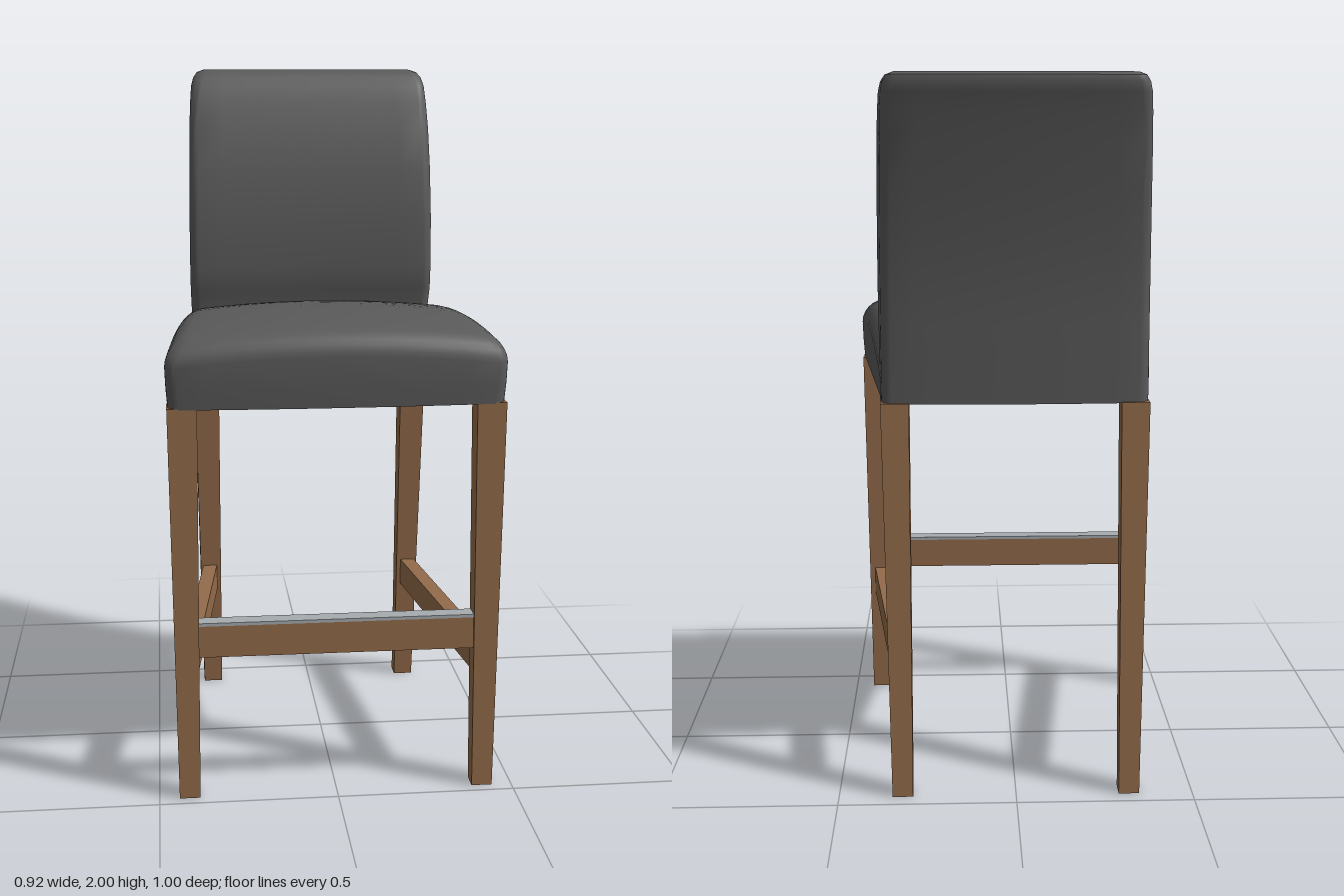
import * as THREE from 'three';
import { toCreasedNormals } from 'three/addons/utils/BufferGeometryUtils.js';

const { lerp } = THREE.MathUtils;

// Half width of the tapered plan, wide at the front and narrow at the back
const halfWidth = (z) => 0.41 + 0.115 * z;

// Rounded, tapered outline [x, z], counterclockwise from above; ends bow outwards
function outline(zF, zB, inset, r, bowF, bowB) {
  const corners = [[1, zF - r], [1, zB + r], [-1, zB + r], [-1, zF - r]];
  const arcs = corners.map(([sx, cz], k) => {
    const pts = [];
    for (let i = 0; i <= 6; i++) {
      const a = (k + i / 6) * Math.PI / 2;
      pts.push([sx * (halfWidth(cz) - inset - r) + r * Math.sin(a), cz + r * Math.cos(a)]);
    }
    return pts;
  });
  const ring = [];
  arcs.forEach((arc, k) => {
    ring.push(...arc);
    const a = arc[6], b = arcs[(k + 1) % 4][0];
    for (let i = 1; i < 10; i++) ring.push([lerp(a[0], b[0], i / 10), lerp(a[1], b[1], i / 10)]);
  });
  const mid = (zF + zB) / 2, half = (zF - zB) / 2;
  return ring.map(([x, z]) => {
    const t = (z - mid) / half;
    const curve = Math.max(0, 1 - (x / halfWidth(z)) ** 2);
    return [x, z + (t > 0 ? bowF : bowB) * t * curve];
  });
}

// Closed skin over rings of [x, y, z], listed from bottom to top
function loft(rings, crease) {
  const n = rings[0].length, pos = rings.flat(2), index = [];
  for (let i = 0; i < rings.length - 1; i++) {
    for (let j = 0; j < n; j++) {
      const a = i * n + j, b = i * n + (j + 1) % n;
      index.push(a, b, b + n, a, b + n, a + n);
    }
  }
  [0, rings.length - 1].forEach((i) => {
    const centre = [0, 1, 2].map((c) => rings[i].reduce((s, p) => s + p[c], 0) / n);
    const m = pos.length / 3;
    pos.push(...centre);
    for (let j = 0; j < n; j++) {
      const a = i * n + j, b = i * n + (j + 1) % n;
      if (i === 0) index.push(m, b, a);
      else index.push(m, a, b);
    }
  });
  const g = new THREE.BufferGeometry();
  g.setAttribute('position', new THREE.Float32BufferAttribute(pos, 3));
  g.setIndex(index);
  return toCreasedNormals(g, crease);
}

// Rectangle [x0, x1, z0, z1] at height y
const rect = (y, [x0, x1, z0, z1]) => [[x0, y, z1], [x1, y, z1], [x1, y, z0], [x0, y, z0]];

function seatGeometry() {
  const top = (x, z) => 1.343 - 0.29 * (z - 0.18) ** 2 - 0.15 * x * x;
  const plan = (inset) => outline(0.484 - inset, -0.36 + inset, inset, 0.03, 0.014, 0);
  const R = 0.06;
  const rings = [
    plan(0.006).map(([x, z]) => [x, 1.115, z]),
    plan(0.002).map(([x, z]) => [x, 1.17, z]),
  ];
  // rolled upper edge
  for (let i = 0; i <= 6; i++) {
    const a = i / 6 * Math.PI / 2;
    rings.push(plan(R * (1 - Math.cos(a))).map(([x, z]) => [x, top(x, z) - R * (1 - Math.sin(a)), z]));
  }
  // domed top
  for (const s of [0.85, 0.65, 0.45, 0.25, 0.08]) {
    rings.push(plan(R).map(([x, z]) => {
      const px = x * s, pz = lerp(0.06, z, s);
      return [px, top(px, pz), pz];
    }));
  }
  return loft(rings, 0.7);
}

function backGeometry() {
  // height, front z, rear z, side inset
  const levels = [
    [1.115, -0.275, -0.395, 0.002], [1.27, -0.283, -0.4, 0.002], [1.33, -0.262, -0.402, 0.002],
    [1.4, -0.256, -0.404, 0.002], [1.55, -0.26, -0.417, 0.002], [1.7, -0.278, -0.44, 0.002],
    [1.82, -0.305, -0.462, 0.002], [1.9, -0.331, -0.478, 0.003], [1.95, -0.35, -0.49, 0.005],
    [1.975, -0.366, -0.497, 0.01], [1.992, -0.385, -0.494, 0.02], [2, -0.41, -0.48, 0.04],
  ];
  const rings = levels.map(([y, zF, zB, inset]) =>
    outline(zF, zB + 0.012, inset, 0.028, -0.004, 0.012).map(([x, z]) => [x, y, z]));
  return loft(rings, 0.7);
}

export function createModel() {
  const fabric = new THREE.MeshStandardMaterial({ color: 0x5a5a5b });
  fabric.name = 'grey upholstery';
  const wood = new THREE.MeshStandardMaterial({ color: 0x936b4a });
  wood.name = 'brown wood';
  const metal = new THREE.MeshStandardMaterial({ color: 0xa6abaf });
  metal.name = 'brushed metal';

  const model = new THREE.Group();
  model.name = 'barStool';
  const add = (name, geometry, material) => {
    const mesh = new THREE.Mesh(geometry, material);
    mesh.name = name;
    model.add(mesh);
  };

  add('seat', seatGeometry(), fabric);
  add('backrest', backGeometry(), fabric);

  // Legs and side rails, mirrored left and right
  for (const [side, s] of [['left', 1], ['right', -1]]) {
    const flip = ([x0, x1, z0, z1]) => (s > 0 ? [x0, x1, z0, z1] : [-x1, -x0, z0, z1]);
    const leg = (foot, head) => loft([rect(0, flip(foot)), rect(1.118, flip(head))], 0.3);
    add(side + 'FrontLeg', leg([0.386, 0.444, 0.412, 0.468], [0.378, 0.459, 0.402, 0.48]), wood);
    add(side + 'RearLeg', leg([0.291, 0.349, -0.452, -0.397], [0.291, 0.369, -0.395, -0.312]), wood);
    const rail = [0.33, 0.413].map((y) => [[0.39, 0.42], [0.434, 0.42], [0.347, -0.375], [0.303, -0.375]]
      .map(([x, z]) => [x * s, y, z]));
    if (s < 0) rail.forEach((ring) => ring.reverse());
    add(side + 'SideRail', loft(rail, 0.3), wood);
  }

  // Footrest with a metal wear strip on top
  const footrest = new THREE.BoxGeometry(0.78, 0.09, 0.046).translate(0, 0.459, 0.441);
  add('frontFootrest', footrest, wood);
  const strip = new THREE.BoxGeometry(0.77, 0.009, 0.048).translate(0, 0.5085, 0.441);
  add('footrestStrip', strip, metal);

  return model;
}
